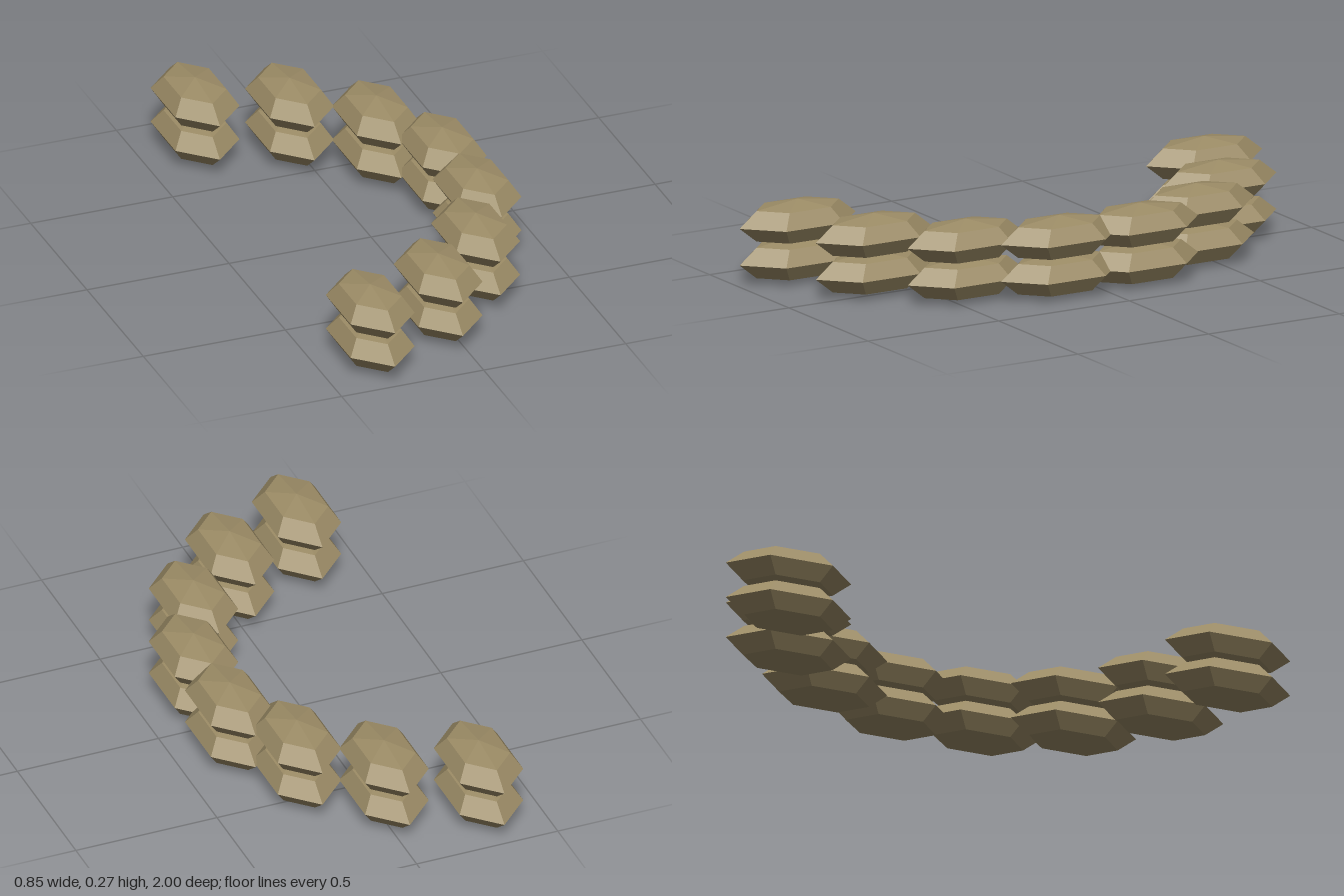
import * as THREE from 'three';

export function createModel() {
  const group = new THREE.Group();
  group.name = 'sandbagWall';

  const burlap = new THREE.MeshStandardMaterial({ color: 0x9c8c66, flatShading: true });
  burlap.name = 'burlap';

  // Faceted six-sided bag, pointed towards +z and -z
  const bag = new THREE.SphereGeometry(1, 6, 4);
  bag.rotateY(Math.PI / 2);
  bag.scale(0.13, 0.073, 0.222);

  // Two stacked layers along a half circle that opens to -x
  const radius = 0.793, count = 8;
  for (let layer = 0; layer < 2; layer++) {
    for (let i = 0; i < count; i++) {
      const a = ((i + 0.5) / count - 0.5) * Math.PI;
      const mesh = new THREE.Mesh(bag, burlap);
      mesh.name = (layer ? 'upperSandbag' : 'lowerSandbag') + (i + 1);
      mesh.position.set(radius * Math.cos(a) - 0.466, 0.073 + layer * 0.124, radius * Math.sin(a));
      group.add(mesh);
    }
  }
  return group;
}
